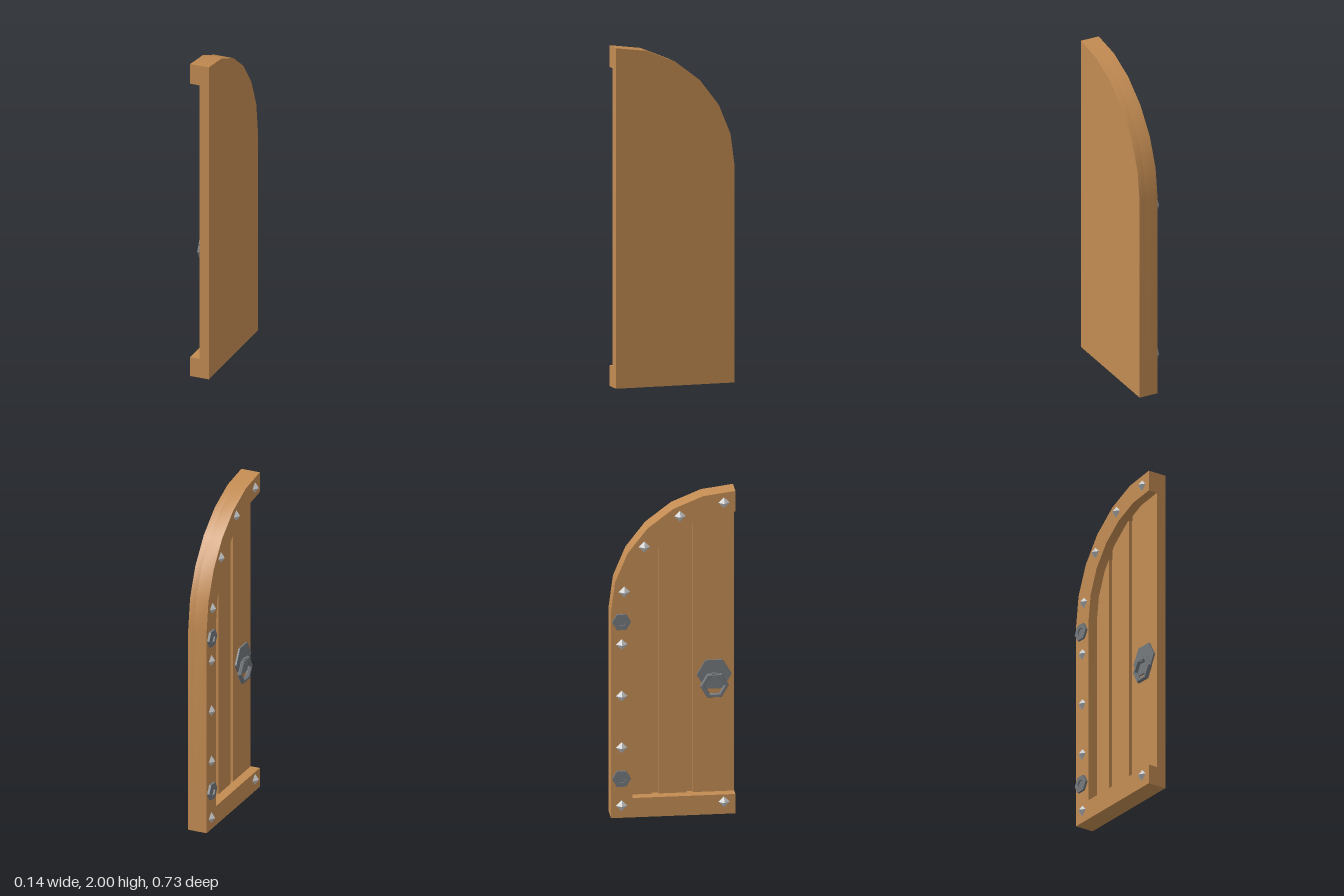
import * as THREE from 'three';
import { toCreasedNormals } from 'three/addons/utils/BufferGeometryUtils.js';

const wood = new THREE.MeshStandardMaterial({ color: 0xc28b52 });
const iron = new THREE.MeshStandardMaterial({ color: 0x73777b });
const steel = new THREE.MeshStandardMaterial({ color: 0xcccccc });
const EDGE = 0.363, SPRING = 1.274; // meeting edge of the leaf, height where the arch starts

// Quarter arch in six straight steps, from the meeting edge out to the hinge side
function archPoints(r) {
  return Array.from({ length: 7 }, (_, i) => {
    const a = Math.PI / 2 + (i * Math.PI) / 12;
    return new THREE.Vector2(EDGE + r * Math.cos(a), SPRING + r * Math.sin(a));
  });
}

export function createModel() {
  // Local frame: x runs along the door, y up, z out of the decorated face
  const door = new THREE.Group();
  door.name = 'doorLeaf';
  door.rotation.y = -Math.PI / 2;

  function add(name, geo, mat, x = 0, y = 0, z = 0, parent = door) {
    const mesh = new THREE.Mesh(geo, mat);
    mesh.name = name;
    mesh.position.set(x, y, z);
    parent.add(mesh);
    return mesh;
  }
  function slab(points, z0, z1) {
    const geo = new THREE.ExtrudeGeometry(new THREE.Shape(points), { depth: z1 - z0, bevelEnabled: false });
    geo.translate(0, 0, z0);
    return toCreasedNormals(geo, 0.5);
  }
  const P = (x, y) => new THREE.Vector2(x, y);

  // Backing board with the full arched outline
  const outer = archPoints(0.726);
  add('backBoard', slab([P(EDGE, 0), ...outer, P(-EDGE, 0)], -0.07, -0.03), wood);

  // Raised frame, open at the meeting edge
  const inner = archPoints(0.6).reverse();
  add('frame', slab([P(EDGE, 0), P(EDGE, 0.12), P(EDGE - 0.6, 0.12), ...inner, ...outer, P(-EDGE, 0)], -0.03, 0.048), wood);

  // Planks separated by grooves, their tops tucked into the arch
  const topAt = (x) => SPRING + Math.sqrt(Math.max(0, 0.64 ** 2 - (EDGE - x) ** 2));
  for (const [a, b] of [[-0.26, -0.115], [-0.08, 0.085], [0.12, EDGE]]) {
    const top = [];
    for (let i = 0; i <= 6; i++) {
      const x = b + ((a - b) * i) / 6;
      top.push(P(x, topAt(x)));
    }
    add('plank', slab([P(a, 0.1), P(b, 0.1), ...top], -0.03, -0.01), wood);
  }

  // Pyramid studs around the frame
  const studGeo = new THREE.ConeGeometry(0.034, 0.025, 4, 1).toNonIndexed();
  studGeo.rotateX(Math.PI / 2);
  studGeo.computeVertexNormals();
  const studs = [[0.297, 1.93], [0.04, 1.857], [-0.168, 1.675], [-0.285, 1.4],
    [-0.3, 1.075], [-0.3, 0.755], [-0.3, 0.435], [-0.3, 0.075], [0.297, 0.075]];
  for (const [x, y] of studs) add('stud', studGeo, steel, x, y, 0.0605);

  // Hexagon outline with its corners pointing sideways
  const hexagon = (r) => Array.from({ length: 6 }, (_, i) =>
    P(r * Math.cos((i * Math.PI) / 3), r * Math.sin((i * Math.PI) / 3)));

  // Hinge bolts: hexagonal washer with a sunken centre
  const washer = new THREE.Shape(hexagon(0.055));
  washer.holes.push(new THREE.Path(hexagon(0.026).reverse()));
  const washerGeo = new THREE.ExtrudeGeometry(washer, { depth: 0.014, bevelEnabled: false });
  const coreGeo = slab(hexagon(0.026), 0, 0.006);
  for (const y of [1.217, 0.245]) {
    const bolt = new THREE.Group();
    bolt.name = 'hingeBolt';
    bolt.position.set(-0.302, y, 0.048);
    add('boltWasher', washerGeo, iron, 0, 0, 0, bolt);
    add('boltCore', coreGeo, iron, 0, 0, 0, bolt);
    door.add(bolt);
  }

  // Pull handle: hexagonal plate, staple and hanging ring
  const handle = new THREE.Group();
  handle.name = 'handle';
  handle.position.set(0.245, 0.85, -0.01);
  door.add(handle);
  add('handlePlate', slab(hexagon(0.102), 0, 0.011), iron, 0, 0, 0, handle);
  add('handleStaple', new THREE.BoxGeometry(0.03, 0.03, 0.022), iron, 0, -0.005, 0.016, handle);
  const ringGeo = toCreasedNormals(new THREE.TorusGeometry(0.07, 0.015, 6, 6), 0.5);
  add('handleRing', ringGeo, iron, 0, -0.066, 0.018, handle);

  const model = new THREE.Group();
  model.name = 'archedDoor';
  model.add(door);
  return model;
}
